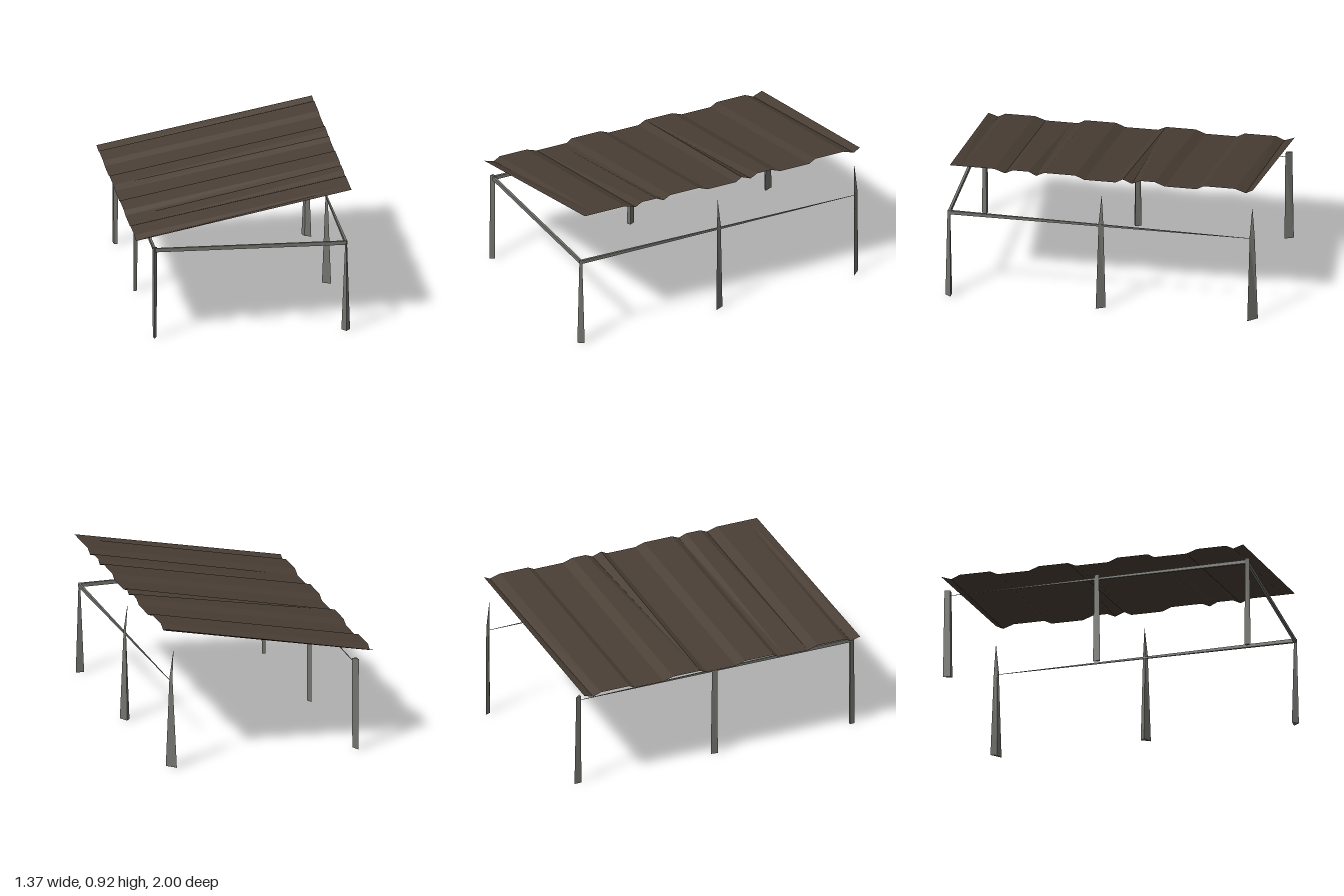
import * as THREE from 'three';

const roofBrown = new THREE.MeshStandardMaterial({ color: 0x4a3f35, flatShading: true, side: THREE.DoubleSide });
roofBrown.name = 'roofBrown';
const metalGrey = new THREE.MeshStandardMaterial({ color: 0x72726d, flatShading: true });
metalGrey.name = 'metalGrey';

function makeMesh(name, geometry, material) {
  const mesh = new THREE.Mesh(geometry, material);
  mesh.name = name;
  return mesh;
}

function fromTriangles(points) {
  const g = new THREE.BufferGeometry();
  g.setAttribute('position', new THREE.Float32BufferAttribute(points.flat(), 3));
  g.computeVertexNormals();
  return g;
}

// Corrugated sheet: ridges (1) and valleys (0) listed front to back as
// [z, height at the low edge, z, height at the high edge]
function roofGeometry() {
  const profile = [
    [0.98, 0.85, 0.965, 1], [0.915, 0, 0.9, 1], [0.87, 1, 0.88, 1], [0.68, 1, 0.68, 1],
    [0.61, 0, 0.61, 0], [0.6, 0, 0.56, 1], [0.445, 0, 0.46, 1], [0.4, 0, 0.41, 0],
    [0.36, 1, 0.36, 1], [0.16, 1, 0.16, 1], [0.1, 0, 0.1, 0], [-0.11, 0, -0.1, 0],
    [-0.16, 1, -0.145, 1], [-0.165, 1, -0.205, 0], [-0.17, 1, -0.255, 1], [-0.35, 1, -0.35, 1],
    [-0.415, 0, -0.415, 0], [-0.62, 0, -0.62, 0], [-0.665, 1, -0.665, 1], [-0.865, 1, -0.865, 1],
    [-0.92, 0, -0.935, 0], [-0.985, 1, -0.98, 1],
  ];
  const low = (p) => [-0.684 - 0.005 * p[1], 0.626 + 0.022 * p[1], p[0]];
  const high = (p) => [0.684 - 0.005 * p[3], 0.9 + 0.022 * p[3], p[2]];
  const tris = [];
  for (let i = 0; i < profile.length - 1; i++) {
    const a = profile[i], b = profile[i + 1];
    tris.push(low(a), high(a), high(b), low(a), high(b), low(b));
  }
  return fromTriangles(tris);
}

// Solid through stacked triangular sections, each { y, points: [[x, z], ...] }
function postGeometry(sections) {
  const rings = sections.map(({ y, points }) => points.map(([x, z]) => [x, y, z]));
  const [p, q, r] = sections[0].points;
  const turn = (q[0] - p[0]) * (r[1] - p[1]) - (q[1] - p[1]) * (r[0] - p[0]);
  if (turn < 0) rings.forEach((ring) => ring.reverse());
  const tris = [...rings[0]];
  for (let k = 0; k < rings.length - 1; k++) {
    for (let i = 0; i < 3; i++) {
      const j = (i + 1) % 3, a = rings[k], b = rings[k + 1];
      tris.push(a[i], b[i], b[j], a[i], b[j], a[j]);
    }
  }
  tris.push(...[...rings[rings.length - 1]].reverse());
  return fromTriangles(tris);
}

// Scale a section about a centre
const shrink = (points, [cx, cz], sx, sz) =>
  points.map(([x, z]) => [cx + (x - cx) * sx, cz + (z - cz) * sz]);

// Side beam that thins out toward the back
function sideBeamGeometry(x) {
  const g = new THREE.BoxGeometry(0.016, 0.024, 1.94);
  const pos = g.attributes.position;
  for (let i = 0; i < pos.count; i++) {
    const atBack = pos.getZ(i) < 0;
    const k = atBack ? 0.1 : 1;
    pos.setX(i, pos.getX(i) * k);
    pos.setY(i, (pos.getY(i) + 0.012) * k);
  }
  g.computeVertexNormals();
  return g.translate(x, 0.565, 0.005);
}

export function createModel() {
  const model = new THREE.Group();
  model.name = 'canopy';
  model.add(makeMesh('corrugatedRoof', roofGeometry(), roofBrown));

  // Posts under the high edge; two of them run on to a point above the beam
  const highPosts = [
    { name: 'highFrontPost', base: [[0.615, 0.962], [0.67, 0.962], [0.643, 1.0]], c: [0.645, 0.975] },
    { name: 'highMiddlePost', base: [[0.67, 0.03], [0.64, -0.028], [0.616, 0.0]], c: [0.645, 0.0], tip: true },
    { name: 'highBackPost', base: [[0.67, -0.942], [0.615, -1.0], [0.63, -0.962]], c: [0.645, -0.967], tip: true },
  ];
  for (const { name, base, c, tip } of highPosts) {
    const sections = [
      { y: 0, points: base },
      { y: 0.59, points: shrink(base, c, 0.2, tip ? 0.5 : 0.45) },
    ];
    if (tip) sections.push({ y: 0.778, points: base.map(() => [0.627, c[1]]) });
    model.add(makeMesh(name, postGeometry(sections), metalGrey));
  }

  // Posts under the low edge, a little wider in x at the top
  const lowPosts = [
    { name: 'lowFrontPost', base: [[-0.583, 0.962], [-0.56, 0.968], [-0.577, 1.0]] },
    { name: 'lowMiddlePost', base: [[-0.583, 0.022], [-0.56, 0.012], [-0.577, -0.025]] },
    { name: 'lowBackPost', base: [[-0.56, -0.945], [-0.585, -1.0], [-0.583, -0.95]] },
  ];
  for (const { name, base } of lowPosts) {
    const cz = (base[0][1] + base[1][1] + base[2][1]) / 3;
    const top = shrink(base, [-0.572, cz], 1.3, 0.7);
    model.add(makeMesh(name, postGeometry([{ y: 0, points: base }, { y: 0.597, points: top }]), metalGrey));
  }

  // Beams
  const frontBeam = new THREE.BoxGeometry(1.215, 0.024, 0.016).translate(0.037, 0.577, 0.975);
  model.add(makeMesh('frontBeam', frontBeam, metalGrey));
  model.add(makeMesh('highSideBeam', sideBeamGeometry(0.643), metalGrey));
  model.add(makeMesh('lowSideBeam', sideBeamGeometry(-0.572), metalGrey));
  return model;
}
